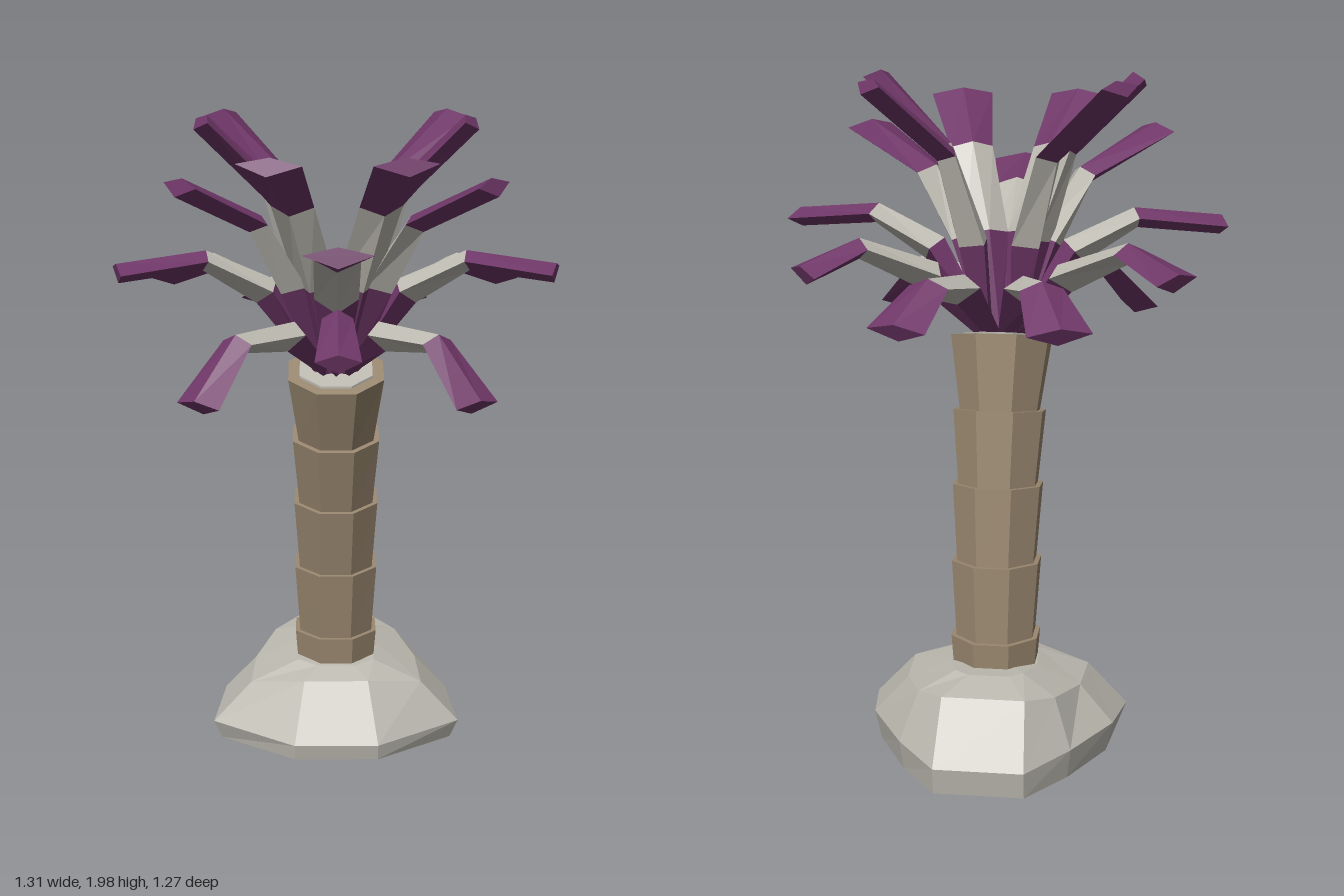
import * as THREE from 'three';

const flat = (name, color) => {
  const m = new THREE.MeshStandardMaterial({ color, flatShading: true });
  m.name = name;
  return m;
};
const v = (x, y, z) => new THREE.Vector3(x, y, z);

// Skin a list of equal-length rings, each counter-clockwise seen from the far end
function loft(rings, capStart = true, capEnd = true) {
  const pos = [];
  const tri = (...pts) => pts.forEach((p) => pos.push(p.x, p.y, p.z));
  const n = rings[0].length;
  for (let i = 0; i < rings.length - 1; i++) {
    for (let j = 0; j < n; j++) {
      const k = (j + 1) % n;
      const [a, b, c, d] = [rings[i][j], rings[i][k], rings[i + 1][k], rings[i + 1][j]];
      tri(a, b, c);
      tri(a, c, d);
    }
  }
  const first = rings[0], last = rings[rings.length - 1];
  for (let j = 1; j < n - 1; j++) {
    if (capStart) tri(first[0], first[j + 1], first[j]);
    if (capEnd) tri(last[0], last[j], last[j + 1]);
  }
  const g = new THREE.BufferGeometry();
  g.setAttribute('position', new THREE.Float32BufferAttribute(pos, 3));
  g.computeVertexNormals();
  return g;
}

function add(parent, name, geometry, material) {
  const mesh = new THREE.Mesh(geometry, material);
  mesh.name = name;
  parent.add(mesh);
}

// Tilted octagon with a flat side to the front; r is the distance to a side
function octagon(y, z, r, tilt) {
  return Array.from({ length: 8 }, (_, i) => {
    const a = Math.PI / 8 + (i * Math.PI) / 4, R = r / Math.cos(Math.PI / 8);
    const dz = -Math.sin(a) * R;
    return v(Math.cos(a) * R, y - dz * tilt, z + dz);
  });
}

// Diamond section across a frond
function diamond(p, tangent, radial, half, up, down) {
  const side = v(0, 1, 0).cross(radial).normalize();
  const n = tangent.clone().cross(side).normalize();
  return [
    p.clone().addScaledVector(side, half),
    p.clone().addScaledVector(n, up),
    p.clone().addScaledVector(side, -half),
    p.clone().addScaledVector(n, -down),
  ];
}

export function createModel() {
  const model = new THREE.Group();
  model.name = 'palm';
  const stone = flat('pale grey', 0xbdbab1);
  const bark = flat('brown bark', 0x9a8870);
  const purple = flat('purple', 0x6f3768);

  // Rock: half outlines from front to back [x, y, z], mirrored
  const outlines = [
    [[0.13, 0, 0.11], [0.365, 0, -0.06], [0.34, 0, -0.27], [0.24, 0, -0.46], [0.13, 0, -0.605]],
    [[0.13, 0.05, 0.12], [0.39, 0.06, -0.05], [0.36, 0.09, -0.27], [0.25, 0.09, -0.47], [0.13, 0.08, -0.617]],
    [[0.1, 0.22, 0.01], [0.27, 0.19, -0.06], [0.26, 0.2, -0.25], [0.2, 0.23, -0.42], [0.12, 0.25, -0.5]],
    [[0.06, 0.245, -0.06], [0.12, 0.25, -0.1], [0.13, 0.255, -0.24], [0.1, 0.27, -0.35], [0.06, 0.27, -0.38]],
  ];
  const rockRings = outlines.map((half) => [
    ...half.map(([x, y, z]) => v(x, y, z)),
    ...[...half].reverse().map(([x, y, z]) => v(-x, y, z)),
  ]);
  add(model, 'rock', loft(rockRings), stone);

  // Trunk: flared segments stacked along a forward lean [y, z, top radius, tilt]
  const trunk = new THREE.Group();
  trunk.name = 'trunk';
  model.add(trunk);
  const joints = [
    [0.235, -0.195, 0.12, 0],
    [0.335, -0.192, 0.128, 0.03],
    [0.56, -0.17, 0.128, 0.08],
    [0.785, -0.135, 0.129, 0.14],
    [1.0, -0.092, 0.132, 0.2],
    [1.21, -0.043, 0.144, 0.28],
  ];
  for (let i = 1; i < joints.length; i++) {
    const [y0, z0, , t0] = joints[i - 1];
    const [y1, z1, r1, t1] = joints[i];
    const bottom = octagon(y0 - 0.01, z0, i === 1 ? 0.12 : 0.113, t0);
    add(trunk, 'trunkSegment' + i, loft([bottom, octagon(y1, z1, r1, t1)]), bark);
  }
  add(trunk, 'trunkCap', loft([octagon(1.205, -0.043, 0.11, 0.28), octagon(1.217, -0.043, 0.11, 0.28)]), stone);

  // Fronds: inner joint, outer joint, tip, width scale
  const fronds = [
    [[0.09, 1.4, -0.25], [0.155, 1.43, -0.43], [0.22, 1.34, -0.59], 0.95],
    [[0.19, 1.42, -0.16], [0.38, 1.51, -0.265], [0.52, 1.45, -0.375], 1],
    [[0.07, 1.5, -0.09], [0.145, 1.76, -0.14], [0.35, 1.96, -0.24], 0.95],
    [[0.09, 1.5, 0], [0.18, 1.76, 0.035], [0.385, 1.965, 0.06], 0.9],
    [[0.2, 1.47, 0.01], [0.385, 1.565, 0.045], [0.635, 1.54, 0.115], 0.95],
    [[0.12, 1.49, 0.05], [0.23, 1.68, 0.11], [0.44, 1.8, 0.23], 1],
    [[0.06, 1.5, 0.08], [0.125, 1.74, 0.22], [0.185, 1.88, 0.455], 1],
    [[0, 1.46, 0.13], [0, 1.61, 0.355], [0, 1.66, 0.595], 1],
    [[0.13, 1.36, 0.13], [0.28, 1.37, 0.31], [0.385, 1.22, 0.45], 0.8],
    [[0, 1.4, 0.19], [0, 1.46, 0.42], [0, 1.385, 0.64], 0.65],
  ];
  const halfWidth = [0.03, 0.065, 0.066, 0.097];
  const rise = [0.02, 0.035, 0.025, 0.022];
  const drop = [0.02, 0.055, 0.035, 0.035];
  const crown = new THREE.Group();
  crown.name = 'crown';
  model.add(crown);

  const addFrond = (data, mirror) => {
    const pts = data.slice(0, 3).map(([x, y, z]) => v(x * mirror, y, z));
    const radial = v(pts[2].x, 0, pts[2].z + 0.04).normalize();
    pts.unshift(v(0, 1.22, -0.04).addScaledVector(radial, 0.05));
    const rings = pts.map((p, i) => {
      const before = pts[Math.max(i - 1, 0)], after = pts[Math.min(i + 1, 3)];
      const tangent = p.clone().sub(before).normalize().add(after.clone().sub(p).normalize());
      return diamond(p, tangent, radial, halfWidth[i] * data[3], rise[i], drop[i]);
    });
    const frond = new THREE.Group();
    frond.name = 'frond';
    add(frond, 'frondBase', loft([rings[0], rings[1]], true, false), purple);
    add(frond, 'frondMiddle', loft([rings[1], rings[2]], false, false), stone);
    add(frond, 'frondTip', loft([rings[2], rings[3]], false, true), purple);
    crown.add(frond);
  };
  for (const data of fronds) {
    addFrond(data, 1);
    if (data[2][0] > 0) addFrond(data, -1);
  }
  return model;
}
